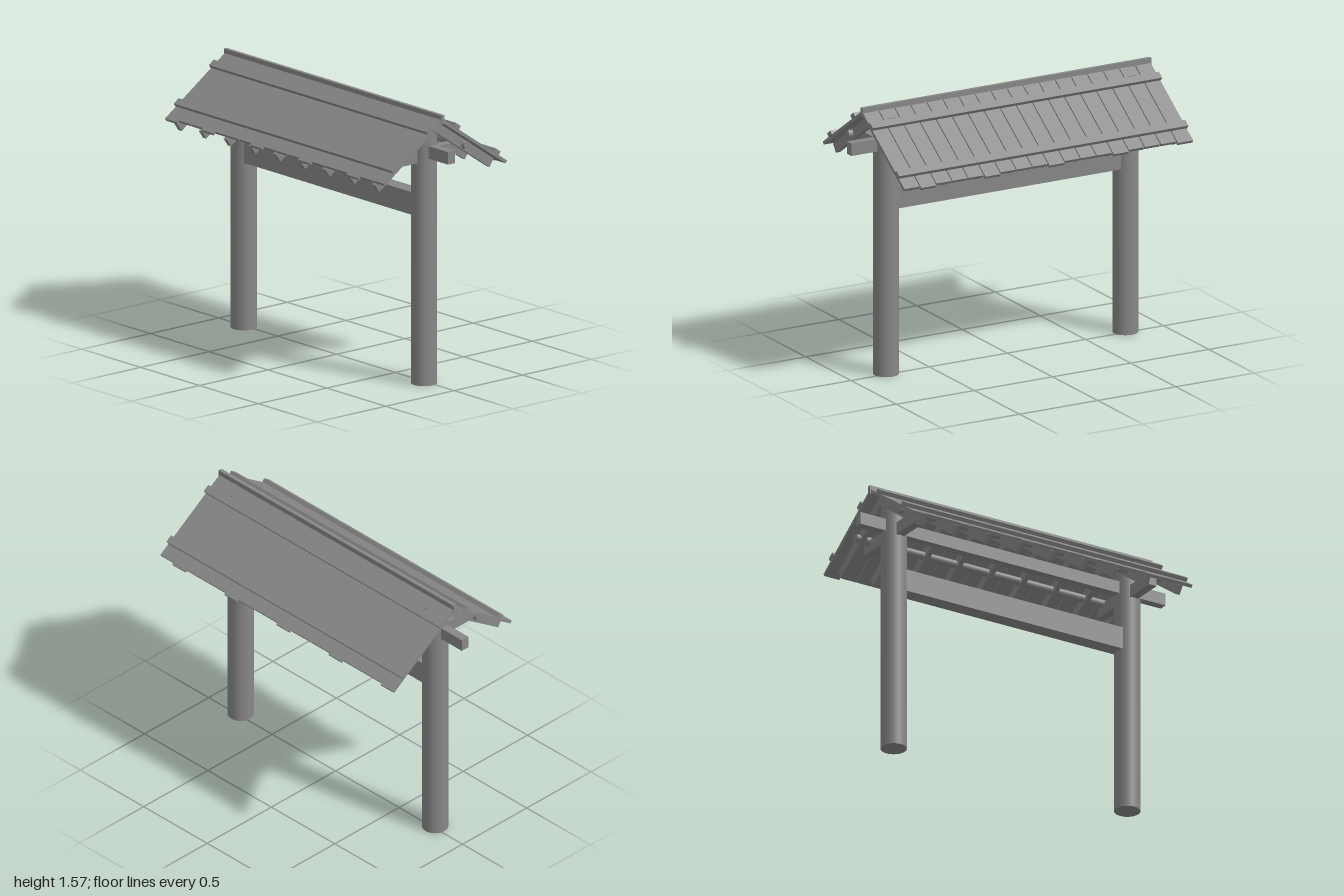
import * as THREE from 'three';

const PITCH = THREE.MathUtils.degToRad(34.4);
const Z0 = 0.018;        // centre line of posts and ridge
const APEX = 1.548;      // height where the two plank surfaces meet
const PLANK_T = 0.018;
const RAFTER_T = 0.054;

const material = new THREE.MeshStandardMaterial({ color: 0x878787 });

function add(parent, name, geometry, x, y, z) {
  const mesh = new THREE.Mesh(geometry, material);
  mesh.name = name;
  mesh.position.set(x, y, z);
  parent.add(mesh);
}

function box(parent, name, w, h, d, x, y, z) {
  add(parent, name, new THREE.BoxGeometry(w, h, d), x, y, z);
}

// Mitred pair of rafters with square-cut tails, extruded along its width
function rafterGeometry(width, length) {
  const c = Math.cos(PITCH), s = Math.sin(PITCH), top = -PLANK_T / c;
  const tail = [c * length, top - s * length];
  const under = [tail[0] - s * RAFTER_T, tail[1] - c * RAFTER_T];
  const shape = new THREE.Shape([
    [0, top], [-tail[0], tail[1]], [-under[0], under[1]],
    [0, top - RAFTER_T / c], under, tail,
  ].map(([x, y]) => new THREE.Vector2(x, y)));
  const geometry = new THREE.ExtrudeGeometry(shape, { depth: width, bevelEnabled: false });
  return geometry.translate(0, 0, -width / 2).rotateY(Math.PI / 2);
}

// One roof slope: local z runs down the slope, local y points out of it
function roofSlope(name, side, length, longLength, battens, isLong) {
  const slope = new THREE.Group();
  slope.name = name;
  slope.position.set(0, APEX, Z0);
  slope.rotation.set(PITCH, side > 0 ? 0 : Math.PI, 0, 'YXZ');
  const count = 18, pitch = 0.1026;
  for (let i = 0; i < count; i++) {
    const len = isLong(i) ? longLength : length;
    const x = side * (i - (count - 1) / 2) * pitch;
    box(slope, 'roofPlank', 0.097, PLANK_T, len, x, -PLANK_T / 2, len / 2);
  }
  for (const s of battens) box(slope, 'roofBatten', 1.85, 0.022, 0.044, 0, 0.011, s);
  return slope;
}

export function createModel() {
  const model = new THREE.Group();
  model.name = 'roofedGate';

  // Posts and the cross ties that carry the roof
  for (const side of [-1, 1]) {
    const x = side * 0.766;
    add(model, 'post', new THREE.CylinderGeometry(0.073, 0.073, 1.503, 32), x, 0.7515, Z0);
    box(model, 'crossTie', 0.05, 0.072, 0.53, x, 1.314, Z0);
  }

  // Long beams between and through the posts
  box(model, 'lowerBeam', 1.42, 0.13, 0.092, 0, 1.027, Z0);
  box(model, 'upperBeam', 2, 0.072, 0.05, 0, 1.342, 0.02);

  // Rafters
  const rafter = rafterGeometry(0.028, 0.525);
  for (let i = -4; i <= 4; i++) add(model, 'rafterPair', rafter, i * 0.21, APEX, Z0);

  // Round purlins running through the rafters
  for (const z of [0.25, -0.2]) {
    const purlin = new THREE.CylinderGeometry(0.023, 0.023, 1.76, 20).rotateZ(Math.PI / 2);
    add(model, 'purlin', purlin, 0, 1.347, z);
  }

  // Planked slopes with battens, and the ridge board
  model.add(roofSlope('frontSlope', 1, 0.523, 0.537, [0.107, 0.418],
    (i) => i === 0 || i % 4 === 3));
  model.add(roofSlope('backSlope', -1, 0.573, 0.585, [0.122, 0.474],
    (i) => i % 4 === 0));
  box(model, 'ridgeBoard', 1.85, 0.05, 0.022, 0, 1.543, 0.015);

  return model;
}
